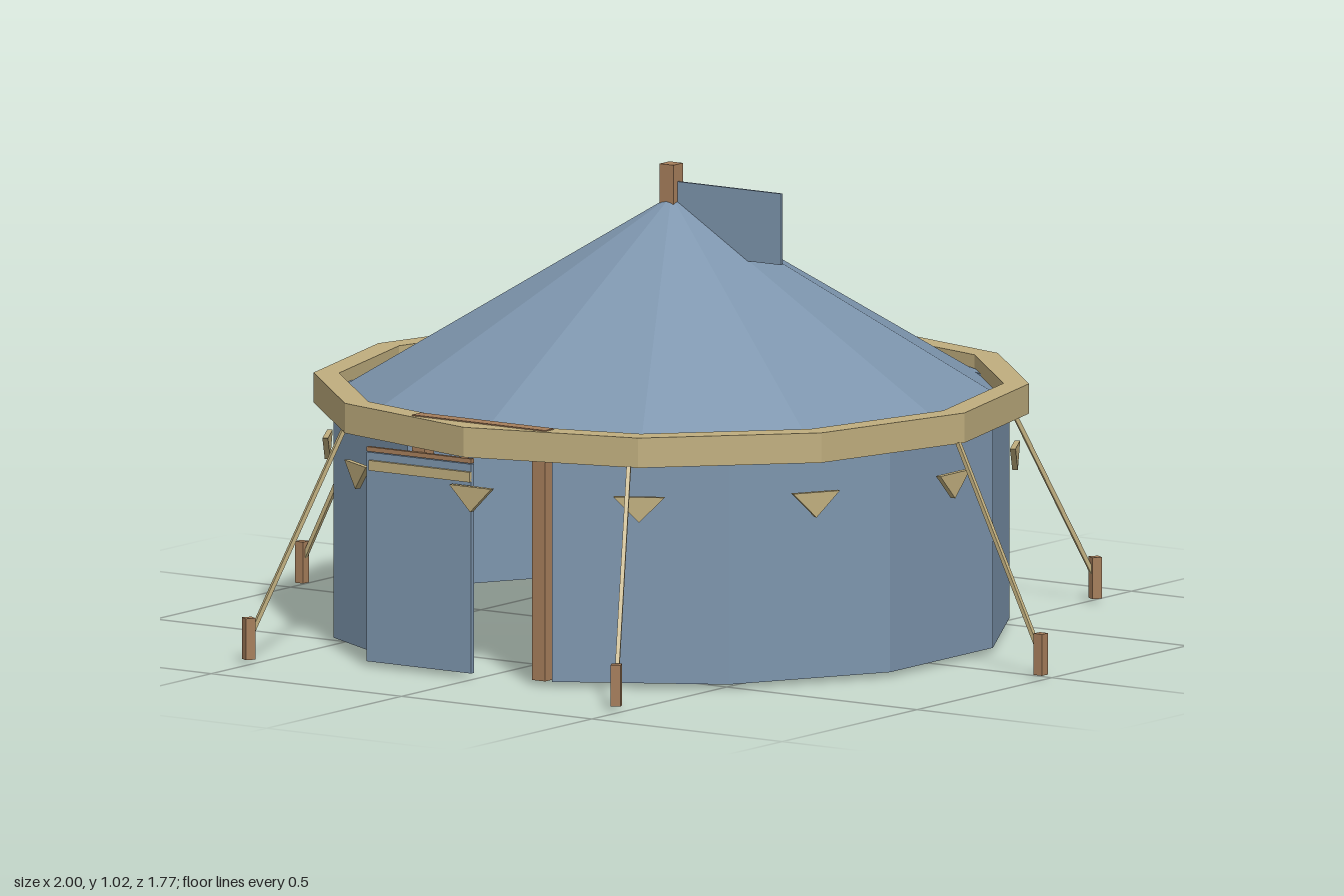
import * as THREE from 'three';

const canvas = new THREE.MeshStandardMaterial({ color: 0x7d95ad, flatShading: true, side: THREE.DoubleSide });
const trim = new THREE.MeshStandardMaterial({ color: 0xc0ae7e, flatShading: true });
const wood = new THREE.MeshStandardMaterial({ color: 0xa67e5b, flatShading: true });

const SIDES = 12, STEP = (Math.PI * 2) / SIDES;

export function createModel() {
  const tent = new THREE.Group();
  tent.name = 'tent';

  const add = (name, geometry, material, x = 0, y = 0, z = 0) => {
    const mesh = new THREE.Mesh(geometry, material);
    mesh.name = name;
    mesh.position.set(x, y, z);
    tent.add(mesh);
    return mesh;
  };
  const box = (name, material, w, h, d, x, y, z) =>
    add(name, new THREE.BoxGeometry(w, h, d), material, x, y, z);

  // Square bar between two points
  const bar = (name, material, from, to, size) => {
    const mesh = box(name, material, size, size, from.distanceTo(to), 0, 0, 0);
    mesh.position.copy(from).add(to).multiplyScalar(0.5);
    mesh.lookAt(to);
    return mesh;
  };

  // Plan outline at radius r, angle measured from the front
  const planPoint = (r, a) => new THREE.Vector2(r * Math.sin(a), -r * Math.cos(a));
  const ring = (r, offset, count) =>
    Array.from({ length: count }, (_, i) => planPoint(r, offset + i * STEP));
  const extrudeUp = (shape, height) =>
    new THREE.ExtrudeGeometry(shape, { depth: height, bevelEnabled: false }).rotateX(-Math.PI / 2);

  // Wall: twelve facets with the front one left open as the doorway
  const wall = new THREE.Shape([
    ...ring(0.735, STEP / 2, SIDES),
    ...ring(0.718, STEP / 2, SIDES).reverse(),
  ]);
  add('wall', extrudeUp(wall, 0.515), canvas, 0, 0.01, 0);

  // Roof and the eave band around it
  const roof = new THREE.ConeGeometry(0.74, 0.445, SIDES, 1, true);
  add('roof', roof, canvas, 0, 0.7275, 0);
  const band = new THREE.Shape(ring(0.77, 0, SIDES));
  band.holes.push(new THREE.Path(ring(0.715, 0, SIDES).reverse()));
  add('eaveBand', extrudeUp(band, 0.065), trim, 0, 0.488, 0);

  // Centre pole and flag
  box('centrePole', wood, 0.036, 1.02, 0.036, 0, 0.51, 0);
  box('flag', canvas, 0.275, 0.155, 0.006, 0.153, 0.905, 0);

  // Pennants hanging on the wall
  const triangle = new THREE.Shape([
    new THREE.Vector2(-0.055, 0.42), new THREE.Vector2(0, 0.365), new THREE.Vector2(0.055, 0.42),
  ]);
  const pennant = new THREE.ExtrudeGeometry(triangle, { depth: 0.012, bevelEnabled: false });
  pennant.translate(0, 0, 0.734);
  for (let i = 0; i < SIDES; i++) add('pennant', pennant, trim).rotation.y = i * STEP;

  // Guy ropes and stakes
  const stakes = [[0.985, 0.02], [0.515, -0.845], [-0.475, -0.87], [-0.988, -0.025], [-0.515, 0.84], [0.472, 0.87]];
  for (const [x, z] of stakes) {
    const k = 0.765 / Math.hypot(x, z);
    bar('guyRope', trim, new THREE.Vector3(x * k, 0.49, z * k), new THREE.Vector3(x, 0.05, z), 0.009);
    box('stake', wood, 0.022, 0.09, 0.022, x, 0.053, z).rotation.y = Math.atan2(x, z);
  }

  // Door frame
  for (const side of [-1, 1]) box('doorPost', wood, 0.034, 0.53, 0.034, side * 0.158, 0.275, 0.698);
  box('doorLintel', wood, 0.35, 0.035, 0.034, 0, 0.538, 0.698);

  // Door flap drawn to one side, with its rod and trim strip
  box('doorFlap', canvas, 0.275, 0.455, 0.01, -0.148, 0.238, 0.722);
  box('flapStrip', trim, 0.265, 0.022, 0.008, -0.143, 0.438, 0.73);
  box('flapRod', wood, 0.275, 0.01, 0.01, -0.148, 0.472, 0.722);

  // Folding table on crossed legs
  box('tableTop', wood, 0.48, 0.025, 0.22, 0, 0.193, -0.48);
  for (const side of [-1, 1]) {
    for (const lean of [-1, 1]) {
      const z = -0.48 + lean * 0.065;
      bar('tableLeg', wood,
        new THREE.Vector3(side * 0.15 + lean * 0.06, 0.008, z),
        new THREE.Vector3(side * 0.15 - lean * 0.06, 0.182, z), 0.022);
    }
  }

  // Storage chests
  for (const [x, z, turn] of [[-0.45, -0.37, 0.7], [0.44, -0.33, -0.8]])
    box('chest', wood, 0.22, 0.13, 0.14, x, 0.075, z).rotation.y = turn;

  return tent;
}
